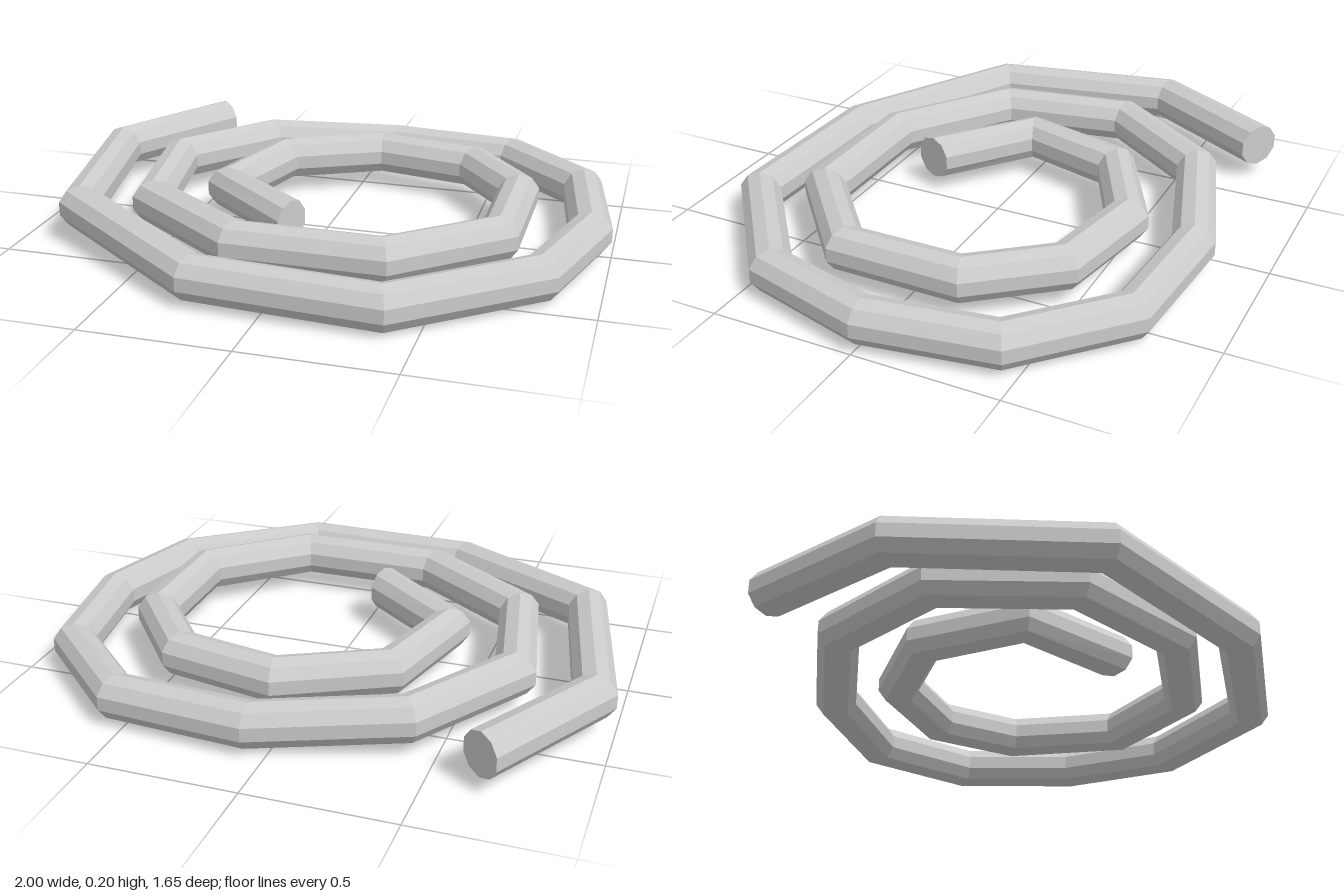
import * as THREE from 'three';

// Joint centres of the coil, from the outer end to the inner end: x, y, z
const PATH = [
  [-0.665, 0.128, -0.76], [-0.926, 0.128, -0.305], [-0.795, 0.124, 0.345],
  [-0.24, 0.088, 0.72], [0.385, 0.08, 0.75], [0.81, 0.083, 0.41],
  [0.925, 0.085, 0], [0.855, 0.085, -0.43], [0.545, 0.085, -0.72],
  [0.075, 0.088, -0.755], [-0.4, 0.115, -0.605], [-0.655, 0.127, -0.23],
  [-0.57, 0.127, 0.23], [-0.175, 0.127, 0.51], [0.33, 0.127, 0.51],
  [0.65, 0.127, 0.23], [0.65, 0.127, -0.19], [0.44, 0.127, -0.45],
  [0.075, 0.127, -0.52], [-0.265, 0.127, -0.345], [-0.365, 0.127, 0.025],
  [-0.045, 0.127, 0.285],
].map((p) => new THREE.Vector3(...p));

const RADIUS = 0.0775;
const SIDES = 10;

// Horizontal direction of travel at a joint: the bisector of its two segments
function heading(i) {
  if (i === 0) return new THREE.Vector3(-0.59, 0, 0.81);
  if (i === PATH.length - 1) return new THREE.Vector3(0.93, 0, 0.36);
  const before = PATH[i].clone().sub(PATH[i - 1]).setY(0).normalize();
  const after = PATH[i + 1].clone().sub(PATH[i]).setY(0).normalize();
  return before.add(after).normalize();
}

// Faceted tube through upright rings, closed at both ends
function coilGeometry() {
  const positions = [];
  const index = [];
  PATH.forEach((c, i) => {
    const t = heading(i).normalize();
    for (let j = 0; j < SIDES; j++) {
      const a = Math.PI / 2 + (j / SIDES) * Math.PI * 2;
      const across = Math.cos(a) * RADIUS;
      positions.push(c.x + t.z * across, c.y + Math.sin(a) * RADIUS, c.z - t.x * across);
    }
  });
  const last = PATH.length - 1;
  for (let i = 0; i < last; i++) {
    for (let j = 0; j < SIDES; j++) {
      const k = (j + 1) % SIDES;
      const a = i * SIDES + j, b = i * SIDES + k;
      index.push(a, b, a + SIDES, b, b + SIDES, a + SIDES);
    }
  }
  // End caps as fans
  for (let j = 1; j < SIDES - 1; j++) {
    const e = last * SIDES;
    index.push(0, j + 1, j, e, e + j, e + j + 1);
  }
  const geometry = new THREE.BufferGeometry();
  geometry.setAttribute('position', new THREE.Float32BufferAttribute(positions, 3));
  geometry.setIndex(index);
  const flat = geometry.toNonIndexed();
  flat.computeVertexNormals();
  return flat;
}

export function createModel() {
  const group = new THREE.Group();
  group.name = 'spiralCoil';
  const material = new THREE.MeshStandardMaterial({ color: 0xcccccc, flatShading: true });
  const coil = new THREE.Mesh(coilGeometry(), material);
  coil.name = 'coiledTube';
  group.add(coil);
  return group;
}
